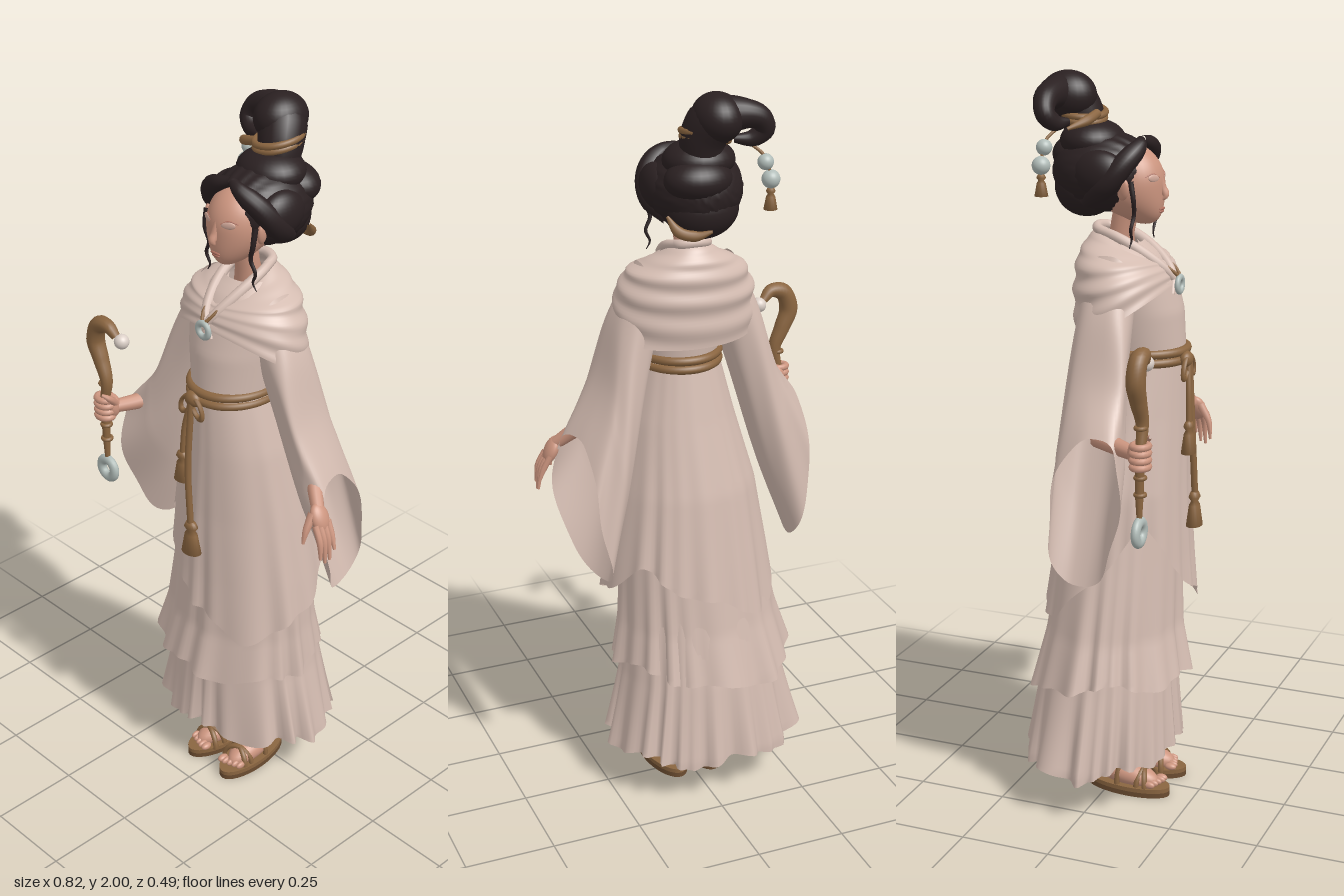
import * as THREE from 'three';

const V = (p) => new THREE.Vector3(...p);
const mat = (name, color, side = THREE.FrontSide) => {
  const m = new THREE.MeshStandardMaterial({ color, side });
  m.name = name;
  return m;
};

// Piecewise linear lookup in rows of [key, ...values]
function lookup(rows, k) {
  let i = 0;
  while (i < rows.length - 2 && k > rows[i + 1][0]) i++;
  const a = rows[i], b = rows[i + 1];
  const t = THREE.MathUtils.clamp((k - a[0]) / (b[0] - a[0]), 0, 1);
  return a.slice(1).map((v, j) => v + (b[j + 1] - v) * t);
}

// Surface closed around v, running from u = 0 (top) to u = 1
function loft(rows, cols, fn) {
  const pos = [], idx = [];
  for (let i = 0; i <= rows; i++)
    for (let j = 0; j < cols; j++) pos.push(...fn(i / rows, j / cols));
  for (let i = 0; i < rows; i++)
    for (let j = 0; j < cols; j++) {
      const n = (j + 1) % cols, a = i * cols + j, b = a + cols, c = i * cols + n, d = c + cols;
      idx.push(a, b, c, b, d, c);
    }
  const g = new THREE.BufferGeometry();
  g.setAttribute('position', new THREE.Float32BufferAttribute(pos, 3));
  g.setIndex(idx);
  g.computeVertexNormals();
  return g;
}

// Tube with a radius that changes along its path
function taper(points, radii, seg = 24, sides = 12) {
  const g = new THREE.TubeGeometry(new THREE.CatmullRomCurve3(points.map(V)), seg, 0.0001, sides);
  const p = g.attributes.position, n = g.attributes.normal;
  const keys = radii.map((r, i) => [i / (radii.length - 1), r]);
  for (let i = 0; i < p.count; i++) {
    const r = lookup(keys, Math.floor(i / (sides + 1)) / seg)[0];
    p.setXYZ(i, p.getX(i) + n.getX(i) * r, p.getY(i) + n.getY(i) * r, p.getZ(i) + n.getZ(i) * r);
  }
  return g;
}

// Head: sphere with a narrow jaw that comes forward
const HEAD = { y: 1.712, z: 0.03, rx: 0.084, ry: 0.105, rz: 0.098 };
const jaw = (ny) => (ny < 0 ? ny * ny : 0);
function faceZ(x, y) {
  const ny = (y - HEAD.y) / HEAD.ry, nx = x / (HEAD.rx * (1 - 0.3 * jaw(ny)));
  return HEAD.z + HEAD.rz * Math.sqrt(Math.max(0, 1 - ny * ny - nx * nx)) + 0.045 * jaw(ny);
}

export function createModel() {
  const cloth = mat('cloth', 0xd4bcb1, THREE.DoubleSide), skin = mat('skin', 0xcc957f);
  const hair = mat('hair', 0x2a2021), wood = mat('woodAndCord', 0x8a6540);
  const jade = mat('jade', 0xb2bdb9), pearl = mat('pearl', 0xdcd0c8);
  const lip = mat('lip', 0xb0705f), lid = mat('eye', 0xd3aa9b), sole = mat('sole', 0x6b4c30);
  const root = new THREE.Group();
  root.name = 'robedFigure';
  const add = (name, geo, m, p = [0, 0, 0], s = [1, 1, 1], r = [0, 0, 0]) => {
    const o = new THREE.Mesh(geo, m);
    o.name = name;
    o.position.set(...p); o.scale.set(...s); o.rotation.set(...r);
    root.add(o);
    return o;
  };
  const ball = new THREE.SphereGeometry(1, 28, 20);
  const blob = (name, m, p, s, r) => add(name, ball, m, p, s, r);

  // Skirt tiers: rows of [-y, centre x, half width, centre z, half depth], hem rows of [turn, y]
  const tier = (name, rows, hem, folds, amp, phase) => add(name, loft(36, 132, (u, v) => {
    const a = v * Math.PI * 2, top = -rows[0][0];
    const low = lookup(hem, v)[0] + 0.014 * Math.sin(a * 6 + phase);
    const y = top + (low - top) * u;
    const [cx, rx, cz, rz] = lookup(rows, -y);
    const b = a + 0.16 * Math.sin(2 * a + phase) + 0.08 * Math.sin(5 * a);
    const f = 1 + amp * (0.12 + u * u) * (Math.sin(b * folds + phase) + 0.7 * Math.sin(b * (folds - 6) + 2 * phase));
    return [cx + Math.sin(a) * rx * f, y, cz + Math.cos(a) * rz * f];
  }), cloth);
  tier('outerSkirt', [[-1.27, 0.01, 0.111, 0.065, 0.125], [-1.1, 0.01, 0.152, 0.05, 0.145], [-0.9, 0, 0.195, 0.03, 0.17],
    [-0.7, 0, 0.224, 0.02, 0.189], [-0.5, 0, 0.25, 0.012, 0.21]],
  [[0, 0.6], [0.1, 0.54], [0.18, 0.56], [0.25, 0.62], [0.36, 0.7], [0.46, 0.64], [0.56, 0.56], [0.66, 0.54], [0.75, 0.68],
    [0.85, 0.82], [0.92, 0.74], [1, 0.6]], 16, 0.022, 0.6);
  tier('middleSkirt', [[-0.97, -0.005, 0.165, 0.028, 0.145], [-0.7, -0.015, 0.203, 0.017, 0.166], [-0.5, -0.03, 0.226, 0.008, 0.18],
    [-0.33, -0.045, 0.262, 0.005, 0.215]],
  [[0, 0.36], [0.15, 0.37], [0.25, 0.39], [0.38, 0.39], [0.5, 0.34], [0.65, 0.34], [0.75, 0.39], [0.87, 0.38], [1, 0.36]], 17, 0.032, 2);
  tier('underSkirt', [[-0.6, -0.02, 0.19, 0, 0.155], [-0.35, -0.03, 0.228, -0.012, 0.185], [-0.13, -0.035, 0.272, -0.02, 0.206]],
    [[0, 0.15], [0.25, 0.14], [0.5, 0.12], [0.75, 0.12], [1, 0.15]], 22, 0.045, 1);

  // Bodice
  const bodice = [[-1.58, 0, 0.045, 0.0, 0.04], [-1.53, 0, 0.11, 0.02, 0.09], [-1.46, 0, 0.135, 0.045, 0.115],
    [-1.38, 0.005, 0.125, 0.055, 0.125], [-1.26, 0.01, 0.11, 0.065, 0.122]];
  add('bodice', loft(24, 48, (u, v) => {
    const a = v * Math.PI * 2, y = 1.56 - 0.3 * u, [cx, rx, cz, rz] = lookup(bodice, -y);
    return [cx + Math.sin(a) * rx, y, cz + Math.cos(a) * rz];
  }), cloth);

  // Draped shawl: collar to hem, lower at the back
  const shawl = [[0, 0.05, 0.055], [0.18, 0.086, 0.086], [0.42, 0.16, 0.116], [0.7, 0.192, 0.128], [1, 0.2, 0.13]];
  add('shawl', loft(44, 90, (u, v) => {
    const a = v * Math.PI * 2, c = Math.cos(a), back = (1 - c) / 2;
    const [rx, rz] = lookup(shawl, u), top = 1.525 + 0.07 * Math.sqrt(back);
    const low = 1.45 - 0.06 * Math.sin(a) ** 2 - 0.13 * back ** 2;
    const f = 1 + (0.01 + 0.018 * back) * Math.sin(u * 32 + 1.6 * c + 0.8 * Math.sin(a)) * Math.min(1, u * 3);
    return [Math.sin(a) * rx * f, top + (low - top) * (0.35 * u + 0.65 * u * u), 0.005 + 0.026 * u + c * rz * f];
  }), cloth);
  for (const s of [-1, 1])
    add('collarBand', taper([[s * 0.04, 1.59, -0.035], [s * 0.052, 1.575, 0.02], [s * 0.04, 1.535, 0.09], [s * 0.01, 1.48, 0.15],
      [-s * 0.025, 1.43, 0.164]], [0.012, 0.014, 0.015, 0.013, 0.006]), cloth);
  add('collarBack', taper([[-0.045, 1.585, -0.01], [-0.035, 1.592, -0.042], [0, 1.596, -0.054], [0.035, 1.592, -0.042],
    [0.045, 1.585, -0.01]], [0.012, 0.013, 0.013, 0.013, 0.012]), cloth);

  // Hanging sleeves, lofted between an upper and a lower edge, full towards the outside
  const sleeve = (name, s, tops, lows, tilt) => {
    const A = new THREE.CatmullRomCurve3(tops.map(V)), B = new THREE.CatmullRomCurve3(lows.map(V));
    add(name, loft(30, 56, (u, v) => {
      const a = v * Math.PI * 2, p = A.getPoint(u), q = B.getPoint(u), sn = Math.sin(a);
      const m = p.clone().lerp(q, 0.5 - 0.5 * Math.cos(a));
      const w = lookup([[0, 0.065], [0.35, 0.08], [0.7, 0.098], [1, 0.1]], u)[0] * Math.sign(sn) * Math.abs(sn) ** 0.75;
      const f = 1 + 0.07 * u * Math.sin(a * 5 + u * 7);
      return [m.x + w * f * tilt * u + s * 0.03 * u * sn * sn, m.y, m.z + w * f];
    }), cloth);
  };
  sleeve('leftSleeve', 1, [[0.13, 1.54, 0.02], [0.2, 1.4, 0.03], [0.25, 1.22, 0.02], [0.32, 1.08, 0.015]],
    [[0.08, 1.38, 0.03], [0.14, 1.18, 0], [0.21, 0.92, -0.04], [0.28, 0.69, -0.075]], 0.3);
  sleeve('rightSleeve', -1, [[-0.13, 1.54, 0.02], [-0.2, 1.4, 0.03], [-0.26, 1.22, 0.045], [-0.34, 1.11, 0.075]],
    [[-0.08, 1.38, 0.03], [-0.14, 1.18, 0.02], [-0.22, 0.92, 0.015], [-0.305, 0.69, 0.01]], -0.1);

  // Left arm with an open hand
  add('leftForearm', taper([[0.265, 1.12, 0.02], [0.305, 1.075, 0.065], [0.345, 1.035, 0.095]], [0.024, 0.021, 0.017]), skin);
  blob('leftPalm', skin, [0.358, 1.015, 0.1], [0.018, 0.04, 0.028], [0, 0, 0.45]);
  for (let i = 0; i < 4; i++) {
    const z = 0.08 + i * 0.015, len = [0.075, 0.1, 0.105, 0.09][i];
    add('leftFinger', taper([[0.367, 1.005, z], [0.388, 0.965, z + 0.004], [0.4 - i * 0.002, 1.005 - len, z + 0.006]],
      [0.009, 0.0085, 0.004], 10, 8), skin);
  }
  add('leftThumb', taper([[0.348, 1.03, 0.115], [0.348, 0.985, 0.14], [0.346, 0.95, 0.148]], [0.013, 0.01, 0.004], 10, 8), skin);

  // Right arm with a fist around the staff
  add('rightForearm', taper([[-0.29, 1.1, 0.06], [-0.32, 1.09, 0.13], [-0.35, 1.085, 0.19]], [0.026, 0.022, 0.018]), skin);
  blob('rightPalm', skin, [-0.352, 1.088, 0.192], [0.024, 0.036, 0.024]);
  for (let i = 0; i < 4; i++)
    add('rightFinger', new THREE.TorusGeometry(0.02, 0.0095, 8, 18), skin, [-0.364, 1.06 + i * 0.018, 0.207], [1.15, 1, 1], [Math.PI / 2, 0, 0]);
  add('rightThumb', taper([[-0.34, 1.1, 0.19], [-0.335, 1.125, 0.215], [-0.35, 1.135, 0.228]], [0.012, 0.01, 0.004], 10, 8), skin);

  // Crooked staff with pearl and ring
  add('staff', taper([[-0.365, 0.92, 0.205], [-0.365, 1, 0.205], [-0.364, 1.1, 0.207], [-0.352, 1.17, 0.207], [-0.374, 1.23, 0.205],
    [-0.393, 1.285, 0.205], [-0.375, 1.335, 0.205], [-0.337, 1.343, 0.205], [-0.312, 1.32, 0.2]],
  [0.007, 0.011, 0.012, 0.013, 0.017, 0.022, 0.026, 0.024, 0.012], 60), wood);
  for (const y of [0.985, 1.03, 1.16])
    add('staffBinding', new THREE.TorusGeometry(0.012, 0.006, 8, 18), wood, [-0.362, y, 0.206], [1, 1, 1], [Math.PI / 2, 0, 0]);
  blob('staffPearl', pearl, [-0.296, 1.31, 0.195], [0.021, 0.021, 0.021]);
  add('staffRing', new THREE.TorusGeometry(0.027, 0.015, 14, 32), jade, [-0.365, 0.885, 0.205], [1, 1, 0.8]);

  // Rope belt, knot and hanging tassels
  for (const y of [1.252, 1.276])
    add('beltRope', new THREE.TorusGeometry(1, 0.1, 10, 64), wood, [0.008, y, 0.063], [0.111, 0.126, 0.12], [Math.PI / 2, 0, 0]);
  blob('beltKnot', wood, [-0.01, 1.255, 0.2], [0.026, 0.022, 0.018]);
  for (const s of [-1, 1])
    add('beltBow', new THREE.TorusGeometry(0.022, 0.007, 8, 20), wood, [-0.01 + s * 0.022, 1.235, 0.206], [0.7, 1.3, 1], [0, 0, s * 0.5]);
  const tasselShape = [[0.001, 0.05], [0.01, 0.045], [0.014, 0.033], [0.008, 0.022], [0.013, 0.012], [0.02, -0.04], [0.001, -0.04]]
    .reverse().map((p) => new THREE.Vector2(...p));
  const tasselGeo = new THREE.LatheGeometry(tasselShape, 18);
  add('shortCord', taper([[-0.01, 1.25, 0.206], [-0.028, 1.17, 0.214], [-0.035, 1.08, 0.218]], [0.008, 0.008, 0.008]), wood);
  add('shortTassel', tasselGeo, wood, [-0.036, 1.045, 0.218], [1.35, 1, 1]);
  add('longCord', taper([[-0.008, 1.25, 0.208], [-0.012, 1.05, 0.22], [0, 0.87, 0.225]], [0.009, 0.009, 0.009]), wood);
  add('longTassel', tasselGeo, wood, [0, 0.835, 0.224], [1.6, 1.1, 1.1]);

  // Pendant on a short cord
  add('pendantCord', taper([[-0.022, 1.515, 0.13], [-0.012, 1.49, 0.158], [0.005, 1.472, 0.174], [0.02, 1.49, 0.158],
    [0.028, 1.515, 0.13]], [0.002, 0.004, 0.005, 0.004, 0.002]), wood);
  add('pendant', new THREE.TorusGeometry(0.019, 0.009, 12, 28), jade, [0.005, 1.452, 0.174], [1, 1, 0.8]);

  // Neck, head and face
  add('neck', taper([[0, 1.5, 0.005], [0, 1.58, 0.012], [0, 1.67, 0.03]], [0.045, 0.033, 0.035]), skin);
  const headGeo = new THREE.SphereGeometry(1, 40, 32), hp = headGeo.attributes.position;
  for (let i = 0; i < hp.count; i++) {
    const y = hp.getY(i), j = jaw(y);
    hp.setXYZ(i, hp.getX(i) * HEAD.rx * (1 - 0.3 * j), y * HEAD.ry, hp.getZ(i) * HEAD.rz + 0.045 * j);
  }
  headGeo.computeVertexNormals();
  add('head', headGeo, skin, [0, HEAD.y, HEAD.z]);
  add('nose', taper([[0, 1.74, 0.118], [0, 1.705, 0.126], [0, 1.684, 0.134], [0, 1.673, 0.124]], [0.006, 0.009, 0.011, 0.003]), skin);
  blob('upperLip', lip, [0, 1.65, faceZ(0, 1.65)], [0.018, 0.004, 0.004]);
  blob('lowerLip', lip, [0, 1.643, faceZ(0, 1.643)], [0.014, 0.004, 0.004]);
  for (const s of [-1, 1]) {
    blob('eye', lid, [s * 0.037, 1.733, faceZ(0.037, 1.733) - 0.001], [0.02, 0.01, 0.004], [0, s * 0.4, s * 0.1]);
    add('eyeLine', taper([[0.018, 1.734], [0.037, 1.744], [0.058, 1.736]].map(([x, y]) => [s * x, y, faceZ(x, y)]),
      [0.001, 0.002, 0.001], 12, 6), lip);
    blob('ear', skin, [s * 0.09, 1.708, 0.05], [0.011, 0.03, 0.018], [0.25, s * 0.3, -s * 0.2]);
  }

  // Hair: combed cap with a centre parting, side sweeps and back coils
  const capGeo = new THREE.SphereGeometry(1, 96, 32), cp = capGeo.attributes.position;
  for (let i = 0; i < cp.count; i++) {
    const f = 1 + 0.012 * Math.sin(Math.atan2(cp.getX(i), cp.getY(i) + 0.3) * 26);
    cp.setXYZ(i, cp.getX(i) * f, cp.getY(i) * f, cp.getZ(i) * f);
  }
  capGeo.computeVertexNormals();
  add('hairCap', capGeo, hair, [0, 1.74, -0.038], [0.124, 0.106, 0.137]);
  blob('hairBack', hair, [0, 1.7, -0.085], [0.1, 0.082, 0.085]);
  blob('hairCoil', hair, [0.02, 1.78, -0.115], [0.09, 0.055, 0.07]);
  blob('hairCrown', hair, [0, 1.82, -0.07], [0.095, 0.055, 0.085]);
  for (const s of [-1, 1]) {
    add('frontSweep', taper([[s * 0.003, 1.825, 0.066], [s * 0.04, 1.812, 0.074], [s * 0.085, 1.778, 0.055], [s * 0.104, 1.725, 0.012],
      [s * 0.075, 1.67, -0.06]], [0.012, 0.027, 0.031, 0.033, 0.02], 32, 14), hair);
    blob('sideHair', hair, [s * 0.092, 1.745, -0.015], [0.042, 0.062, 0.075]);
    add('looseStrand', taper([[s * 0.088, 1.73, 0.07], [s * 0.087, 1.68, 0.078], [s * 0.076, 1.64, 0.075], [s * 0.09, 1.605, 0.072],
      [s * 0.079, 1.575, 0.07], [s * 0.09, 1.555, 0.068]], [0.008, 0.007, 0.006, 0.005, 0.004, 0.001], 36, 8), hair);
  }

  // Looped topknot with its ribbon
  add('topknot', taper([[0.005, 1.82, -0.085], [0, 1.89, -0.105], [-0.025, 1.935, -0.13], [-0.08, 1.945, -0.145], [-0.13, 1.932, -0.148],
    [-0.15, 1.9, -0.14], [-0.125, 1.875, -0.125], [-0.08, 1.873, -0.108]], [0.05, 0.058, 0.064, 0.05, 0.036, 0.028, 0.023, 0.01], 56, 20), hair);
  blob('topknotBulk', hair, [-0.025, 1.936, -0.128], [0.065, 0.064, 0.076]);
  for (const [y, r] of [[1.88, 0.058], [1.895, 0.06]])
    add('hairRibbon', new THREE.TorusGeometry(r, 0.009, 10, 40), wood, [-0.005, y, -0.1], [1, 1.05, 1], [Math.PI / 2 + 0.12, 0.15, 0]);
  add('ribbonEnd', taper([[-0.03, 1.892, -0.045], [-0.08, 1.878, -0.055], [-0.125, 1.86, -0.09]], [0.012, 0.013, 0.004]), wood);
  add('comb', taper([[0.1, 1.69, -0.105], [0.08, 1.655, -0.135], [0.04, 1.645, -0.152], [0, 1.655, -0.162]], [0.004, 0.014, 0.014, 0.004]), wood);

  // Hanging hair beads
  add('beadCord', taper([[-0.12, 1.86, -0.12], [-0.15, 1.83, -0.14], [-0.167, 1.77, -0.145], [-0.167, 1.72, -0.145]], [0.004, 0.004, 0.004, 0.004]), wood);
  blob('upperBead', jade, [-0.153, 1.815, -0.142], [0.021, 0.021, 0.021]);
  blob('lowerBead', jade, [-0.167, 1.77, -0.145], [0.024, 0.024, 0.024]);
  add('beadTassel', tasselGeo, wood, [-0.167, 1.717, -0.145], [0.9, 0.65, 0.9]);

  // Legs, feet and strapped sandals
  for (const s of [-1, 1]) {
    const x = s * 0.06;
    add('leg', taper([[x, 0.45, -0.01], [x, 0.2, -0.015], [x, 0.06, -0.012]], [0.045, 0.036, 0.032]), skin);
    blob('foot', skin, [x, 0.05, 0.045], [0.042, 0.036, 0.105], [0.14, s * 0.08, 0]);
    add('sandalSole', new THREE.CylinderGeometry(1, 1, 0.014, 36), sole, [x, 0.007, 0.057], [0.053, 1, 0.126], [0, s * 0.08, 0]);
    add('sandalBed', new THREE.CylinderGeometry(1, 1, 0.012, 36), wood, [x, 0.02, 0.057], [0.053, 1, 0.126], [0, s * 0.08, 0]);
    for (let i = 0; i < 5; i++) {
      const o = i - 2;
      blob('toe', skin, [x + s * (0.006 + o * 0.015), 0.035, 0.152 - 0.005 * i - (i === 0 ? 0.004 : 0)], [i ? 0.008 : 0.011, 0.01, 0.017]);
    }
    for (const [z, h, turn] of [[0.11, 0.048, 0.35], [0.105, 0.048, -0.35], [0.05, 0.072, 0.3]])
      add('footStrap', new THREE.TorusGeometry(1, 0.16, 8, 24, Math.PI), wood, [x, 0.022, z], [0.044, h, 0.05], [0, s * turn, 0]);
    for (const [y, lean] of [[0.095, 0.3], [0.13, -0.2], [0.165, 0.2]])
      add('ankleStrap', new THREE.TorusGeometry(0.036, 0.006, 8, 28), wood, [x, y, -0.013], [1, 1, 1], [Math.PI / 2 + lean, 0, 0]);
  }
  return root;
}
